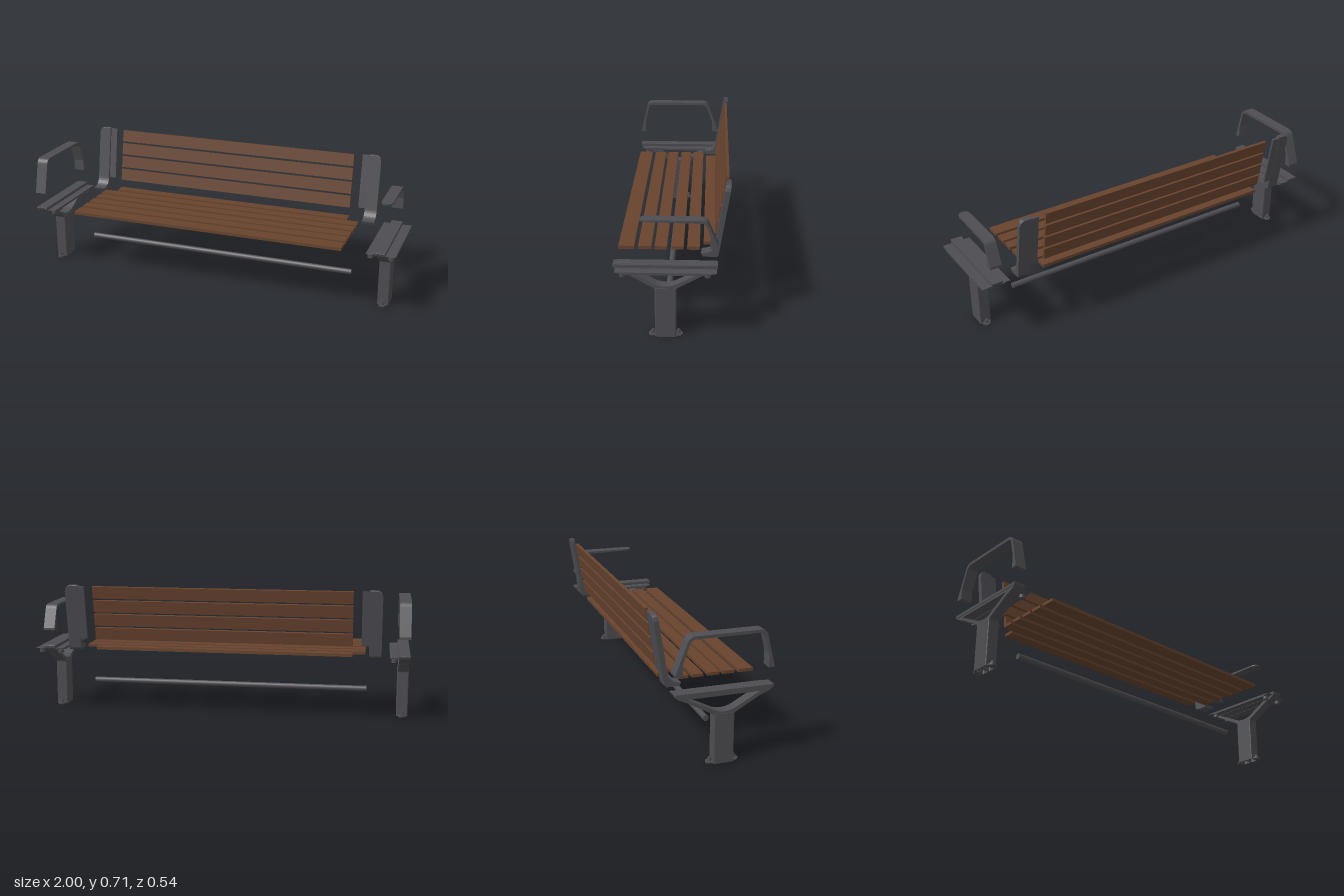
import * as THREE from 'three';

const metal = new THREE.MeshStandardMaterial({ color: 0x4d4d52 });
metal.name = 'dark grey metal';
const wood = new THREE.MeshStandardMaterial({ color: 0x67432e });
wood.name = 'brown wood';

// Closed outline from [a, b, radius] points; a radius rounds that corner
function outline(points, Type = THREE.Shape) {
  const s = new Type();
  const n = points.length;
  points.forEach(([x, y, r = 0], i) => {
    const p = new THREE.Vector2(x, y);
    const toward = (q) => new THREE.Vector2(q[0], q[1]).sub(p).setLength(r || 1e-9).add(p);
    const a = r ? toward(points[(i + n - 1) % n]) : p;
    const b = r ? toward(points[(i + 1) % n]) : p;
    if (i === 0) s.moveTo(a.x, a.y); else s.lineTo(a.x, a.y);
    if (r) s.quadraticCurveTo(x, y, b.x, b.y);
  });
  s.closePath();
  return s;
}

// Side profile in (z, y), extruded along x between x0 and x1
function sideExtrude(shape, x0, x1, steps = 1) {
  const g = new THREE.ExtrudeGeometry(shape, { depth: x1 - x0, steps, bevelEnabled: false, curveSegments: 8 });
  g.rotateY(-Math.PI / 2);
  g.translate(x1, 0, 0);
  return g;
}

function add(parent, name, geometry, material = metal) {
  const m = new THREE.Mesh(geometry, material);
  m.name = name;
  parent.add(m);
  return m;
}

function box(parent, name, [x0, x1], [y0, y1], [z0, z1], material = metal) {
  const m = add(parent, name, new THREE.BoxGeometry(x1 - x0, y1 - y0, z1 - z0), material);
  m.position.set((x0 + x1) / 2, (y0 + y1) / 2, (z0 + z1) / 2);
  return m;
}

function cylinder(parent, name, r, y0, y1, x, z, sides = 16) {
  const m = add(parent, name, new THREE.CylinderGeometry(r, r, y1 - y0, sides), metal);
  m.position.set(x, (y0 + y1) / 2, z);
}

// How far a rounded corner of radius r falls back at distance d from the edge
const cornerDrop = (d, r) => (d >= r ? 0 : r - Math.sqrt(Math.max(0, r * r - (r - d) ** 2)));

// Leg: hollow post, bolted foot, forked arms, top rail and side flanges
function makeLeg(x, flanges) {
  const leg = new THREE.Group();
  leg.name = 'leg';

  const section = outline([[-0.03, -0.05, 0.006], [0.03, -0.05, 0.006], [0.03, 0.05, 0.006], [-0.03, 0.05, 0.006]]);
  for (const s of [-1, 1]) {
    const [a, b] = s < 0 ? [-0.044, -0.004] : [0.004, 0.044];
    section.holes.push(outline([[-0.023, a, 0.01], [-0.023, b, 0.01], [0.023, b, 0.01], [0.023, a, 0.01]], THREE.Path));
  }
  const post = new THREE.ExtrudeGeometry(section, { depth: 0.25, bevelEnabled: false, curveSegments: 5 });
  post.rotateX(-Math.PI / 2);
  add(leg, 'post', post).position.set(x, 0, 0.03);

  // Foot tabs with nut and bolt, front and back
  for (const s of [-1, 1]) {
    const z = 0.03 + s * 0.06;
    cylinder(leg, 'footTab', 0.02, 0, 0.008, x, z, 20);
    box(leg, 'footTabBase', [x - 0.02, x + 0.02], [0, 0.008], s > 0 ? [0.078, z] : [z, -0.018]);
    cylinder(leg, 'nut', 0.011, 0.008, 0.02, x, z, 6);
    cylinder(leg, 'bolt', 0.006, 0.02, 0.028, x, z, 10);
  }

  // Forked arms with a triangular opening
  const fork = outline([
    [0.08, 0.235], [0.08, 0.247, 0.008], [0.204, 0.318, 0.01], [0.25, 0.336, 0.01], [0.27, 0.352],
    [-0.207, 0.352], [-0.2, 0.342], [-0.146, 0.318, 0.01], [-0.02, 0.247, 0.008], [-0.02, 0.235],
  ]);
  fork.holes.push(outline([[0.204, 0.338], [0.06, 0.259, 0.03], [0, 0.259, 0.03], [-0.155, 0.338]], THREE.Path));
  add(leg, 'forkedArms', sideExtrude(fork, x - 0.027, x + 0.027));
  const rail = outline([[0.274, 0.366, 0.004], [-0.212, 0.366, 0.004], [-0.21, 0.35, 0.004], [0.268, 0.35, 0.004]]);
  add(leg, 'topRail', sideExtrude(rail, x - 0.03, x + 0.03));

  // Flanges that carry the neighbouring seat, with fixings underneath
  for (const [x0, x1] of flanges) {
    const plate = outline([[0.26, 0.35], [-0.207, 0.35], [-0.16, 0.338], [0.222, 0.338]]);
    add(leg, 'flange', sideExtrude(plate, x0, x1));
    for (const z of [0.225, -0.165]) cylinder(leg, 'flangeFixing', 0.015, 0.322, 0.34, (x0 + x1) / 2, z);
  }
  return leg;
}

// Back support: curved foot and leaning upright with a rounded outer top corner
function makeBackSupport(outer, inner, flangeEnd) {
  const g = new THREE.Group();
  g.name = 'backSupport';
  const profile = outline([
    [-0.14, 0.35], [-0.132, 0.367], [-0.19, 0.369, 0.05], [-0.247, 0.706, 0.003],
    [-0.271, 0.702, 0.003], [-0.214, 0.36], [-0.205, 0.35],
  ]);
  const upright = sideExtrude(profile, Math.min(outer, inner), Math.max(outer, inner), 10);
  const p = upright.attributes.position;
  for (let i = 0; i < p.count; i++) {
    if (p.getY(i) < 0.68) continue;
    const drop = cornerDrop(Math.abs(p.getX(i) - outer), 0.03);
    p.setY(i, p.getY(i) - drop);
    p.setZ(i, p.getZ(i) + drop * 0.17);
  }
  upright.computeVertexNormals();
  add(g, 'upright', upright);
  const plate = outline([[-0.257, 0.7], [-0.269, 0.698], [-0.222, 0.412], [-0.21, 0.414]]);
  add(g, 'slatFlange', sideExtrude(plate, Math.min(inner, flangeEnd), Math.max(inner, flangeEnd)));
  return g;
}

export function createModel() {
  const bench = new THREE.Group();
  bench.name = 'explodedBench';

  bench.add(makeLeg(-0.97, [[-0.94, -0.897]]));
  bench.add(makeLeg(0.92, [[0.85, 0.89], [0.95, 1.0]]));
  bench.add(makeBackSupport(-0.853, -0.788, -0.75));
  bench.add(makeBackSupport(0.808, 0.742, 0.704));

  // Seat slats, the rear one shorter
  for (const [z0, z1] of [[0.19, 0.266], [0.107, 0.171], [0.032, 0.092], [-0.047, 0.011], [-0.124, -0.064]]) {
    box(bench, 'seatSlat', [-0.77, 0.728], [0.35, 0.366], [z0, z1], wood);
  }
  box(bench, 'rearSeatSlat', [-0.705, 0.66], [0.35, 0.366], [-0.2, -0.142], wood);

  // Leaning back slats
  for (let i = 0; i < 4; i++) {
    const y = 0.442 + i * 0.0745;
    const slat = add(bench, 'backSlat', new THREE.BoxGeometry(1.365, 0.064, 0.016), wood);
    slat.position.set(-0.0225, y, -0.21 - (y - 0.442) * 0.172);
    slat.rotation.x = -0.17;
  }

  // Tie beam between the legs
  const beam = add(bench, 'tieBeam', new THREE.CylinderGeometry(0.015, 0.015, 1.515, 20));
  beam.rotation.z = Math.PI / 2;
  beam.position.set(-0.0225, 0.136, 0.023);

  // Full armrest on the right
  const full = outline([
    [0.273, 0.45], [0.228, 0.637, 0.03], [-0.144, 0.637, 0.03], [-0.211, 0.462], [-0.211, 0.45],
    [-0.176, 0.45], [-0.176, 0.51], [-0.136, 0.622, 0.022], [0.219, 0.622, 0.022], [0.243, 0.515], [0.243, 0.45],
  ]);
  add(bench, 'fullArmrest', sideExtrude(full, -1, -0.94));

  // Half armrest on the left, with a rounded free end
  const half = outline([
    [0.15, 0.585], [-0.159, 0.585, 0.025], [-0.211, 0.462], [-0.211, 0.45],
    [-0.176, 0.45], [-0.176, 0.51], [-0.153, 0.571, 0.018], [0.15, 0.577],
  ]);
  const arm = sideExtrude(half, 0.89, 0.95, 12);
  const p = arm.attributes.position;
  for (let i = 0; i < p.count; i++) {
    if (p.getZ(i) > 0.1) p.setZ(i, p.getZ(i) - cornerDrop(0.03 - Math.abs(p.getX(i) - 0.92), 0.03));
  }
  arm.computeVertexNormals();
  add(bench, 'halfArmrest', arm);

  return bench;
}
